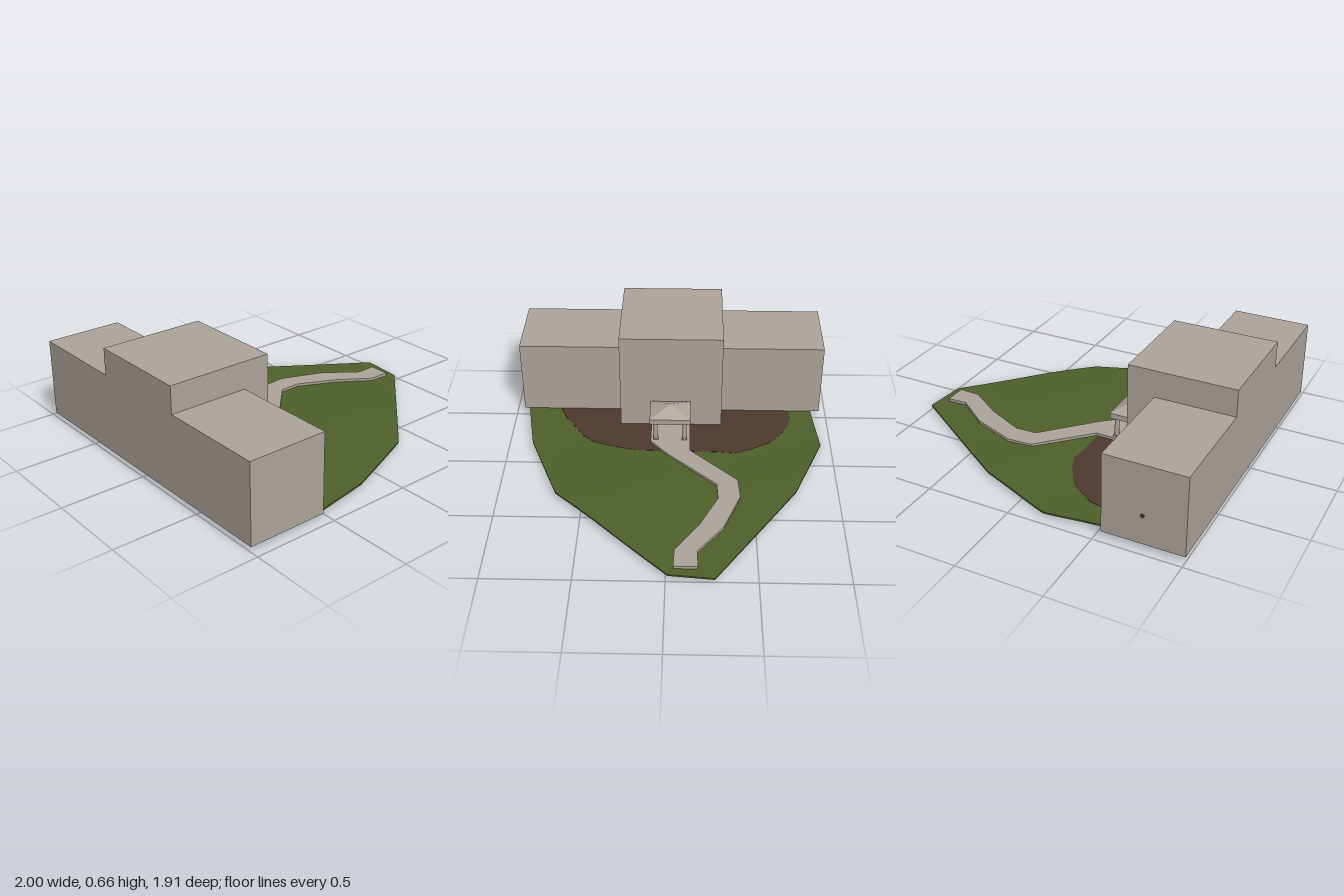
import * as THREE from 'three';

const mat = (name, color) => {
  const m = new THREE.MeshStandardMaterial({ color });
  m.name = name;
  return m;
};

// Gentle terrain: two mounds and one hollow
const bump = (x, z, cx, cz, r, h) => h * Math.exp(-((x - cx) ** 2 + (z - cz) ** 2) / (r * r));
const height = (x, z) => 0.028 + bump(x, z, 0.3, 0.25, 0.3, 0.032)
  + bump(x, z, 0.2, -0.58, 0.14, 0.02) - bump(x, z, -0.18, -0.75, 0.16, 0.018);

// Closed slab that follows the terrain, built from rings scaled towards a centre
function terrainSlab(outline, cx, cz, lift, thickness, rings, perEdge) {
  const rim = [];
  outline.forEach(([x, z], i) => {
    const [nx, nz] = outline[(i + 1) % outline.length];
    for (let k = 0; k < perEdge; k++) {
      const t = k / perEdge;
      rim.push([x + (nx - x) * t, z + (nz - z) * t]);
    }
  });
  const at = (i, r, drop) => {
    const p = rim[i % rim.length];
    const x = cx + (p[0] - cx) * r / rings, z = cz + (p[1] - cz) * r / rings;
    return [x, height(x, z) + lift - drop, z];
  };
  const pos = [];
  const quad = (a, b, c, d) => pos.push(...a, ...b, ...c, ...a, ...c, ...d);
  for (let i = 0; i < rim.length; i++) {
    for (let r = 0; r < rings; r++) {
      quad(at(i, r, 0), at(i + 1, r, 0), at(i + 1, r + 1, 0), at(i, r + 1, 0));
      quad(at(i, r, thickness), at(i, r + 1, thickness), at(i + 1, r + 1, thickness), at(i + 1, r, thickness));
    }
    quad(at(i, rings, 0), at(i + 1, rings, 0), at(i + 1, rings, thickness), at(i, rings, thickness));
  }
  const g = new THREE.BufferGeometry();
  g.setAttribute('position', new THREE.Float32BufferAttribute(pos, 3));
  g.computeVertexNormals();
  return g;
}

export function createModel() {
  const group = new THREE.Group();
  const stone = mat('stone', 0xada499);
  const grass = mat('grass', 0x4e602b);
  const soil = mat('soil', 0x4f392d);

  const add = (name, geometry, material, x = 0, y = 0, z = 0) => {
    const m = new THREE.Mesh(geometry, material);
    m.name = name;
    m.position.set(x, y, z);
    group.add(m);
    return m;
  };
  // Box given by its limits on each axis
  const block = (name, x0, x1, y0, y1, z0, z1, material = stone) =>
    add(name, new THREE.BoxGeometry(x1 - x0, y1 - y0, z1 - z0), material,
      (x0 + x1) / 2, (y0 + y1) / 2, (z0 + z1) / 2);

  // Building
  block('centralBlock', -1, -0.37, 0.03, 0.66, -0.32, 0.315);
  block('backWing', -1, -0.53, 0.03, 0.5, -0.955, -0.32);
  block('frontWing', -1, -0.53, 0.03, 0.5, 0.315, 0.95);
  block('door', -0.37, -0.362, 0.04, 0.13, -0.05, 0.05);

  // Small dark fixings on the wings
  const disc = new THREE.CylinderGeometry(0.012, 0.012, 0.006, 8);
  for (const z of [-0.635, 0.635]) add('undersideFixing', disc, soil, -0.765, 0.029, z);
  add('wallFixing', disc, soil, -0.76, 0.2, -0.955).rotation.x = Math.PI / 2;

  // Lawn and planting bed
  const lawn = [[-0.62, -0.89], [-0.53, -0.9], [-0.18, -0.935], [0.28, -0.75], [1, -0.265],
    [0.975, -0.01], [0.32, 0.66], [-0.17, 0.855], [-0.53, 0.92], [-0.62, 0.935]];
  add('lawn', terrainSlab(lawn, 0.1, 0, 0, 0.01, 20, 8), grass);
  const bed = [[-0.62, -0.73], [-0.53, -0.755], [-0.46, -0.765], [-0.36, -0.74], [-0.3, -0.7],
    [-0.2, -0.62], [-0.12, -0.5], [-0.08, -0.4], [-0.09, -0.28], [-0.09, 0.21], [-0.13, 0.36],
    [-0.17, 0.47], [-0.23, 0.54], [-0.34, 0.61], [-0.43, 0.67], [-0.53, 0.71], [-0.62, 0.72]];
  add('plantingBed', terrainSlab(bed, -0.4, 0, 0.0015, 0.013, 16, 4), soil);

  // Winding path, widening under the porch
  const path = [[-0.37, -0.125], [-0.08, -0.125], [0.2, -0.41], [0.35, -0.42], [0.61, -0.32],
    [0.81, -0.17], [0.93, -0.175], [0.93, -0.04], [0.8, -0.045], [0.6, -0.18], [0.37, -0.29],
    [0.24, -0.285], [-0.04, 0.01], [-0.17, 0.12], [-0.37, 0.12]];
  const pathShape = new THREE.Shape(path.map(([x, z]) => new THREE.Vector2(x, z)));
  const pathGeo = new THREE.ExtrudeGeometry(pathShape, { depth: 0.022, bevelEnabled: false });
  add('path', pathGeo.rotateX(Math.PI / 2), stone, 0, 0.046, 0);

  // Porch: columns, eaves and pyramid roof
  for (const z of [-0.09, 0.09]) {
    add('column', new THREE.CylinderGeometry(0.013, 0.014, 0.13, 12), stone, -0.2, 0.108, z);
    block('columnBase', -0.217, -0.183, 0.044, 0.052, z - 0.017, z + 0.017);
    block('columnCap', -0.217, -0.183, 0.164, 0.172, z - 0.017, z + 0.017);
  }
  block('eaves', -0.37, -0.17, 0.172, 0.206, -0.125, 0.125);
  const roof = new THREE.ConeGeometry(Math.SQRT1_2, 1, 4, 1).toNonIndexed();
  roof.rotateY(Math.PI / 4).scale(0.2, 0.05, 0.25);
  roof.computeVertexNormals();
  add('porchRoof', roof, stone, -0.27, 0.231, 0);

  return group;
}
